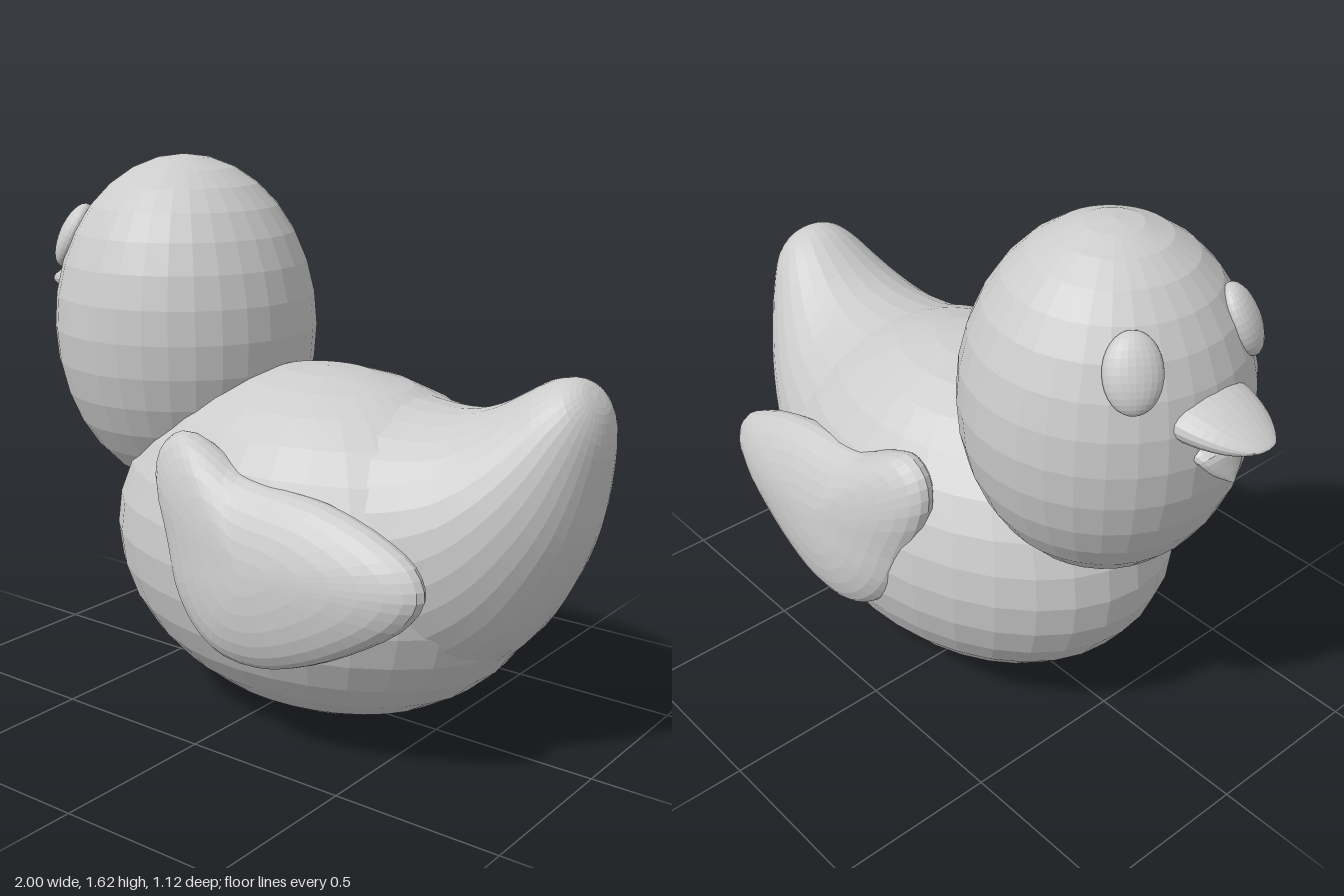
import * as THREE from 'three';

const material = new THREE.MeshStandardMaterial({ color: 0xcccccc, flatShading: true });

function add(group, name, geometry) {
  const mesh = new THREE.Mesh(geometry, material);
  mesh.name = name;
  group.add(mesh);
  return mesh;
}

// Skin a list of closed rings (each an array of Vector3, equal length)
function skin(rings, flip = false) {
  const n = rings[0].length, index = [];
  for (let i = 0; i < rings.length - 1; i++) {
    for (let j = 0; j < n; j++) {
      const a = i * n + j, b = i * n + (j + 1) % n, c = b + n, d = a + n;
      if (flip) index.push(a, d, b, b, d, c);
      else index.push(a, b, d, b, c, d);
    }
  }
  const geometry = new THREE.BufferGeometry().setFromPoints(rings.flat());
  geometry.setIndex(index);
  geometry.computeVertexNormals();
  return geometry;
}

// Smooth loft of ellipses; section = [topX, topY, bottomX, bottomY, halfWidth]
function ellipseLoft(sections, steps, sides) {
  const top = new THREE.CatmullRomCurve3(sections.map(s => new THREE.Vector3(s[0], s[1], s[4])));
  const bottom = new THREE.CatmullRomCurve3(sections.map(s => new THREE.Vector3(s[2], s[3], 0)));
  const rings = [];
  for (let i = 0; i <= steps; i++) {
    const t = top.getPoint(i / steps), b = bottom.getPoint(i / steps), ring = [];
    for (let j = 0; j < sides; j++) {
      const a = (j / sides) * Math.PI * 2, c = Math.cos(a) / 2;
      ring.push(new THREE.Vector3(
        (t.x + b.x) / 2 + (t.x - b.x) * c,
        (t.y + b.y) / 2 + (t.y - b.y) * c,
        t.z * Math.sin(a)));
    }
    rings.push(ring);
  }
  return skin(rings);
}

// Puffed wing: outline inflated to a lens that leans outward toward the bottom
function wingGeometry(side) {
  const outline = new THREE.CatmullRomCurve3([
    [-0.19, 0.77], [-0.13, 0.6], [-0.08, 0.46], [0, 0.36], [0.1, 0.305], [0.25, 0.3],
    [0.4, 0.345], [0.55, 0.42], [0.68, 0.51], [0.73, 0.59], [0.7, 0.66], [0.6, 0.72],
    [0.4, 0.78], [0.2, 0.8], [0.1, 0.82], [0, 0.87], [-0.1, 0.9], [-0.17, 0.86],
  ].map(([x, y]) => new THREE.Vector3(x, y, 0)), true);
  const center = new THREE.Vector3(0.22, 0.58, 0), rows = 16, sides = 48, rings = [];
  for (let i = 0; i <= rows; i++) {
    const a = (i / rows) * Math.PI, ring = [];
    for (let j = 0; j < sides; j++) {
      const p = center.clone().lerp(outline.getPoint(j / sides), Math.sin(a));
      p.z = side * (0.52 - 0.13 * p.y - 0.11 * Math.cos(a));
      ring.push(p);
    }
    rings.push(ring);
  }
  return skin(rings, side < 0);
}

export function createModel() {
  const duck = new THREE.Group();
  duck.name = 'duck';

  // Body and head
  const body = add(duck, 'body', new THREE.SphereGeometry(1, 32, 16));
  body.scale.set(0.71, 0.52, 0.51);
  body.position.set(0.1, 0.525, 0);
  const head = add(duck, 'head', new THREE.SphereGeometry(1, 32, 16));
  head.scale.set(0.405, 0.518, 0.405);
  head.position.set(-0.445, 1.112, 0);

  // Upturned tail growing out of the body
  add(duck, 'tail', ellipseLoft([
    [0.2, 0.98, 0.4, 0.12, 0.42], [0.33, 1.0, 0.56, 0.18, 0.41], [0.46, 0.985, 0.7, 0.27, 0.37],
    [0.58, 0.985, 0.81, 0.38, 0.32], [0.68, 1.015, 0.9, 0.53, 0.265],
    [0.76, 1.06, 0.96, 0.68, 0.21], [0.83, 1.1, 0.99, 0.83, 0.16],
    [0.885, 1.113, 1.0, 0.95, 0.115], [0.925, 1.105, 0.987, 1.03, 0.06],
    [0.96, 1.075, 0.96, 1.075, 0],
  ], 27, 32));

  // Beak, from the tips back into the head
  add(duck, 'upperBeak', ellipseLoft([
    [-1, 1.21, -1, 1.21, 0], [-0.992, 1.218, -0.992, 1.202, 0.035],
    [-0.95, 1.243, -0.95, 1.182, 0.08], [-0.88, 1.275, -0.88, 1.168, 0.12],
    [-0.8, 1.295, -0.8, 1.165, 0.14], [-0.7, 1.28, -0.7, 1.18, 0.12],
  ], 15, 24));
  add(duck, 'lowerBeak', ellipseLoft([
    [-0.905, 1.06, -0.905, 1.06, 0], [-0.895, 1.11, -0.865, 1.075, 0.05],
    [-0.88, 1.155, -0.83, 1.1, 0.08], [-0.82, 1.18, -0.77, 1.1, 0.09],
  ], 9, 20));

  // Eyes lie flat on the head surface; wings sit on the flanks
  for (const side of [1, -1]) {
    const label = side > 0 ? 'left' : 'right';
    const eye = add(duck, label + 'Eye', new THREE.SphereGeometry(1, 24, 16));
    eye.scale.set(0.077, 0.105, 0.045);
    eye.position.set(-0.723, 1.382, side * 0.2);
    eye.lookAt(-0.723 - 1.707, 1.382 + 1.006, side * (0.2 + 1.22));
    add(duck, label + 'Wing', wingGeometry(side));
  }
  return duck;
}
